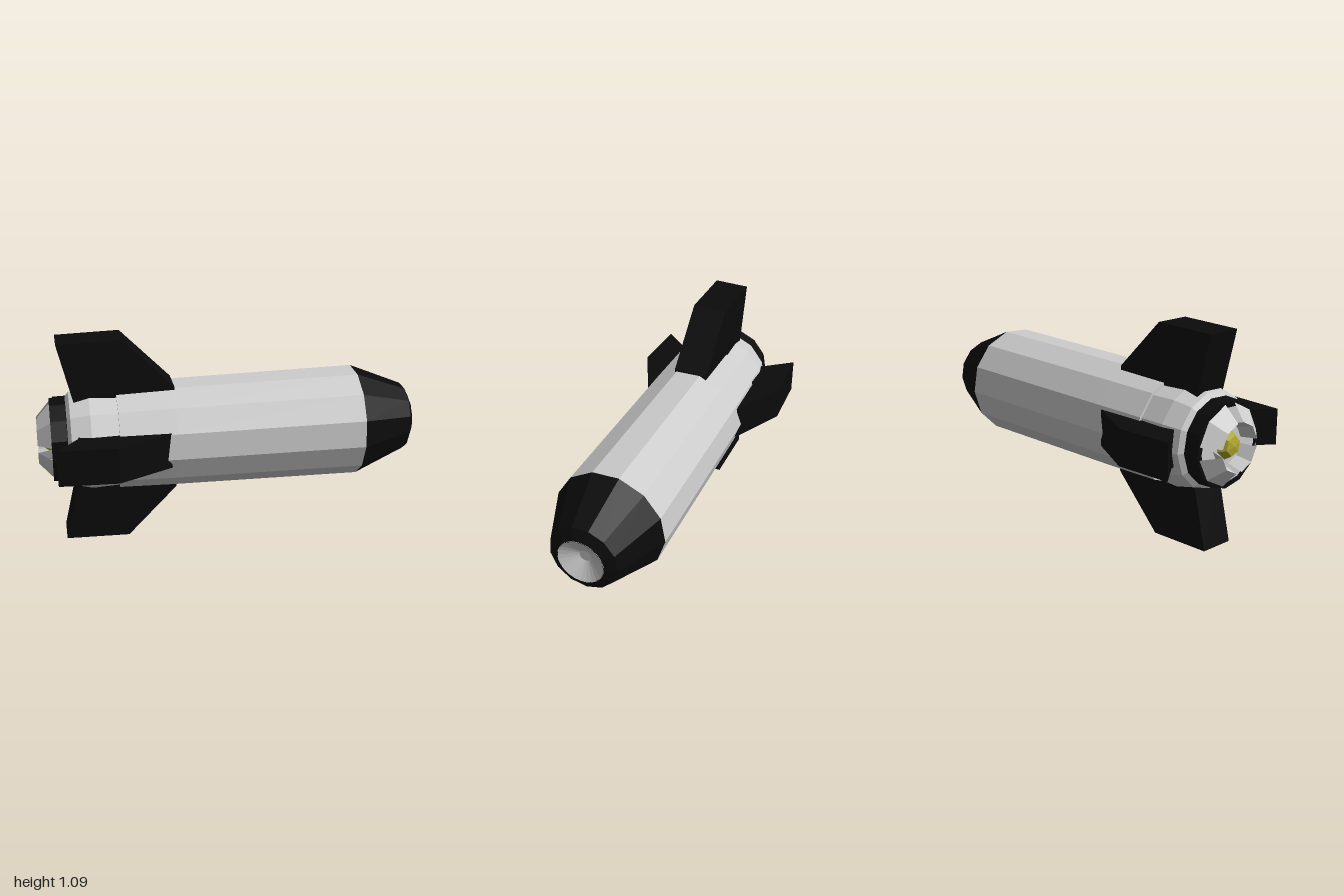
import * as THREE from 'three';

const AXIS_Y = 0.55;
const SIDES = 13;

function material(color) {
  return new THREE.MeshStandardMaterial({ color, flatShading: true, side: THREE.DoubleSide });
}

// Revolves [x, radius] points about the long axis
function turned(name, points, mat, sides = SIDES, start = -Math.PI / 10, sweep = Math.PI * 2) {
  const profile = points.map(([x, r]) => new THREE.Vector2(r, x));
  const geometry = new THREE.LatheGeometry(profile, sides, start, sweep);
  geometry.rotateZ(-Math.PI / 2);
  const mesh = new THREE.Mesh(geometry, mat);
  mesh.name = name;
  return mesh;
}

// Thick swept fin: outline in [x, distance from axis]
function fin(name, outline, angle, thickness, mat) {
  const shape = new THREE.Shape(outline.map(([x, r]) => new THREE.Vector2(x, r)));
  const geometry = new THREE.ExtrudeGeometry(shape, { depth: thickness, bevelEnabled: false });
  geometry.translate(0, 0, -thickness / 2);
  geometry.rotateX(angle);
  const mesh = new THREE.Mesh(geometry, mat);
  mesh.name = name;
  return mesh;
}

export function createModel() {
  const model = new THREE.Group();
  model.name = 'missile';
  const grey = material(0xcccccc);
  const black = material(0x0b0b0b);
  const yellow = material(0xb0a830);

  const rocket = new THREE.Group();
  rocket.name = 'rocket';
  rocket.position.y = AXIS_Y;
  model.add(rocket);

  // Hull and nose
  rocket.add(turned('body', [[-0.59, 0.26], [-0.59, 0.275], [-0.3, 0.282], [0.69, 0.295]], grey));
  rocket.add(turned('nose', [[0.69, 0.295], [0.97, 0.18], [1, 0.122]], black));
  rocket.add(turned('noseCup', [[0.99, 0.124], [1, 0.122], [0.95, 0.03], [0.95, 0]], grey, 24));

  // Narrower tail section and its collar
  rocket.add(turned('tail', [[-0.85, 0.215], [-0.83, 0.245], [-0.73, 0.268], [-0.59, 0.262]], grey));
  rocket.add(turned('tailCollar',
    [[-0.93, 0.19], [-0.93, 0.218], [-0.85, 0.222], [-0.84, 0.2]], black));

  // Exhaust: back plate, four petals around a glowing core
  rocket.add(turned('exhaustPlate', [[-0.92, 0], [-0.92, 0.2]], grey));
  const petals = new THREE.Group();
  petals.name = 'exhaustPetals';
  const sweep = Math.PI * 0.4;
  for (let i = 0; i < 4; i++) {
    const start = Math.PI / 4 + i * Math.PI / 2 - sweep / 2;
    petals.add(turned('petal', [[-0.92, 0.1], [-1, 0.125], [-0.93, 0.205]], grey, 2, start, sweep));
  }
  rocket.add(petals);
  rocket.add(turned('exhaustCore', [[-0.97, 0], [-0.96, 0.05], [-0.92, 0.075]], yellow, 6));

  // Two tall fins above and below, two short fins at the sides
  const tall = [[-0.795, 0.18], [-0.88, 0.537], [-0.55, 0.545], [-0.29, 0.28], [-0.29, 0.18]];
  const short = [[-0.78, 0.18], [-0.8, 0.25], [-0.91, 0.392], [-0.61, 0.408], [-0.33, 0.265], [-0.33, 0.18]];
  rocket.add(fin('topFin', tall, 0, 0.183, black));
  rocket.add(fin('bottomFin', tall, Math.PI, 0.183, black));
  rocket.add(fin('frontFin', short, Math.PI / 2, 0.187, black));
  rocket.add(fin('backFin', short, -Math.PI / 2, 0.187, black));

  return model;
}
